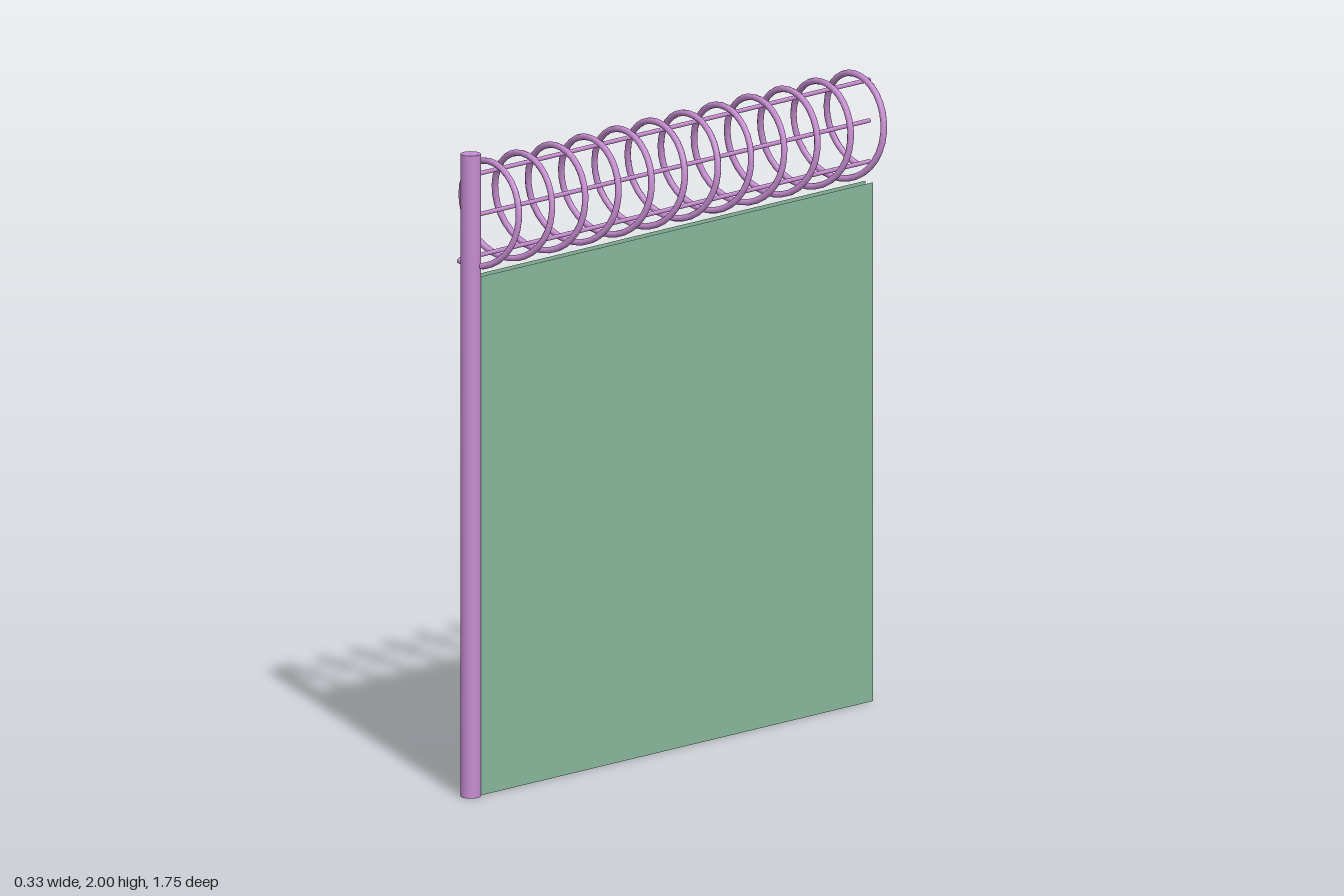
import * as THREE from 'three';

const CENTRE_Y = 1.805; // axis of the wire coil
const POST_Z = 0.842;
const END_Z = -0.862;

// Helical path running from the post to the far end of the panel
class CoilCurve extends THREE.Curve {
  getPoint(u, target = new THREE.Vector3()) {
    const radius = 0.156, turns = 12;
    const a = -0.36 + u * turns * Math.PI * 2;
    return target.set(
      radius * Math.sin(a),
      CENTRE_Y - radius * Math.cos(a),
      0.837 - 1.702 * u
    );
  }
}

export function createModel() {
  const model = new THREE.Group();
  const metal = new THREE.MeshStandardMaterial({ color: 0xc58ccf, side: THREE.DoubleSide });
  const mesh = new THREE.MeshStandardMaterial({ color: 0x8ab89b, side: THREE.DoubleSide });
  const length = POST_Z - END_Z;
  const midZ = (POST_Z + END_Z) / 2;

  const add = (name, geometry, material, x, y, z) => {
    const part = new THREE.Mesh(geometry, material);
    part.name = name;
    part.position.set(x, y, z);
    model.add(part);
    return part;
  };

  // Upright post
  add('post', new THREE.CylinderGeometry(0.031, 0.031, 2, 24), metal, 0, 1, POST_Z);

  // Two thin fence sheets, one on each side, facing outward
  const height = 1.615;
  for (const side of [-1, 1]) {
    const sheet = add(side > 0 ? 'leftPanel' : 'rightPanel',
      new THREE.PlaneGeometry(length, height), mesh, side * 0.015, height / 2, midZ);
    sheet.rotation.y = side * Math.PI / 2;
  }

  // Three straight wires above the panel
  for (const offset of [-0.127, 0, 0.127]) {
    const wire = add('straightWire',
      new THREE.CylinderGeometry(0.007, 0.007, length, 10), metal, 0, CENTRE_Y + offset, midZ);
    wire.rotation.x = Math.PI / 2;
  }

  // Coiled wire around the straight wires
  add('coil', new THREE.TubeGeometry(new CoilCurve(), 12 * 32, 0.01, 8), metal, 0, 0, 0);

  return model;
}
